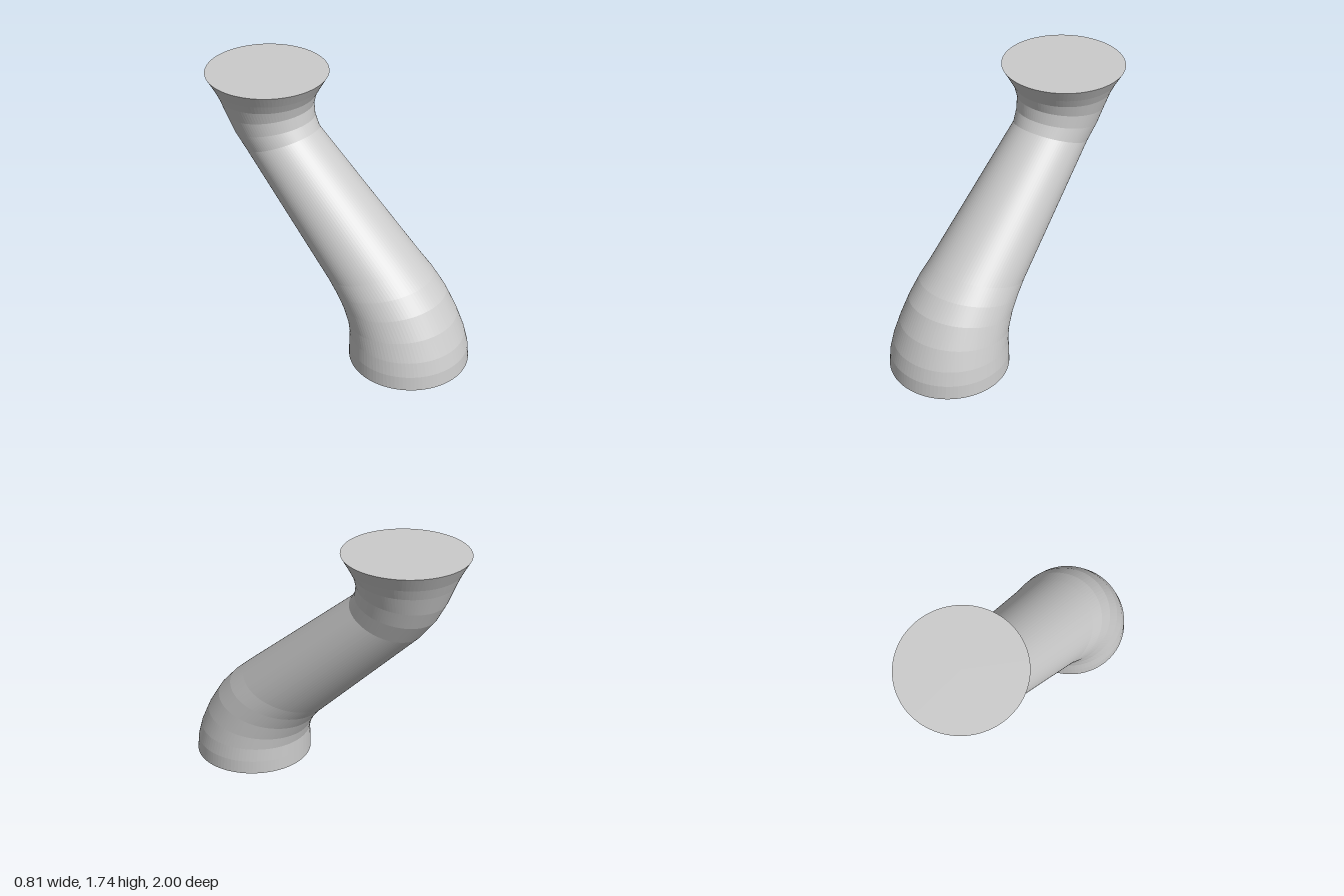
import * as THREE from 'three';

const SEGMENTS = 96;

// Circular cross-sections: front z, y and back z, y of each tilted ring
const RINGS = [
  [1.0, 0, 0.2, 0],
  [0.99, 0.1, 0.2, 0.09],
  [0.962, 0.2, 0.2, 0.18],
  [0.9, 0.34, 0.18, 0.25],
  [0.81, 0.485, 0.135, 0.335],
  [0.71, 0.595, 0.07, 0.42],
  [0.6, 0.69, 0, 0.49],
  [-0.23, 1.385, -0.7, 1.19],
  [-0.27, 1.45, -0.8, 1.32],
  [-0.283, 1.53, -0.86, 1.435],
  [-0.265, 1.6, -0.912, 1.565],
  [-0.232, 1.66, -0.945, 1.64],
  [-0.185, 1.74, -1.0, 1.74],
];

function loftRings(rings) {
  const positions = [];
  const index = [];
  const addCentre = ([fz, fy, bz, by]) => positions.push(0, (fy + by) / 2, (fz + bz) / 2);

  for (const [fz, fy, bz, by] of rings) {
    const radius = Math.hypot(fz - bz, fy - by) / 2;
    for (let i = 0; i < SEGMENTS; i++) {
      const a = (i / SEGMENTS) * Math.PI * 2;
      const c = Math.cos(a);
      positions.push(
        radius * Math.sin(a),
        (fy + by) / 2 + ((fy - by) / 2) * c,
        (fz + bz) / 2 + ((fz - bz) / 2) * c
      );
    }
  }
  addCentre(rings[0]);
  addCentre(rings[rings.length - 1]);

  const last = (rings.length - 1) * SEGMENTS;
  const bottom = rings.length * SEGMENTS;
  for (let i = 0; i < SEGMENTS; i++) {
    const j = (i + 1) % SEGMENTS;
    // Side wall
    for (let r = 0; r < last; r += SEGMENTS) {
      const up = r + SEGMENTS;
      index.push(r + i, r + j, up + i, r + j, up + j, up + i);
    }
    // End caps
    index.push(bottom, j, i, bottom + 1, last + i, last + j);
  }

  const geometry = new THREE.BufferGeometry();
  geometry.setAttribute('position', new THREE.Float32BufferAttribute(positions, 3));
  geometry.setIndex(index);
  const faceted = geometry.toNonIndexed();
  faceted.computeVertexNormals();
  return faceted;
}

export function createModel() {
  const group = new THREE.Group();
  group.name = 'bentColumn';
  const material = new THREE.MeshStandardMaterial({ color: 0xcccccc, flatShading: true });

  // Leaning column with a rounded foot and flared top
  const column = new THREE.Mesh(loftRings(RINGS), material);
  column.name = 'column';
  group.add(column);
  return group;
}
